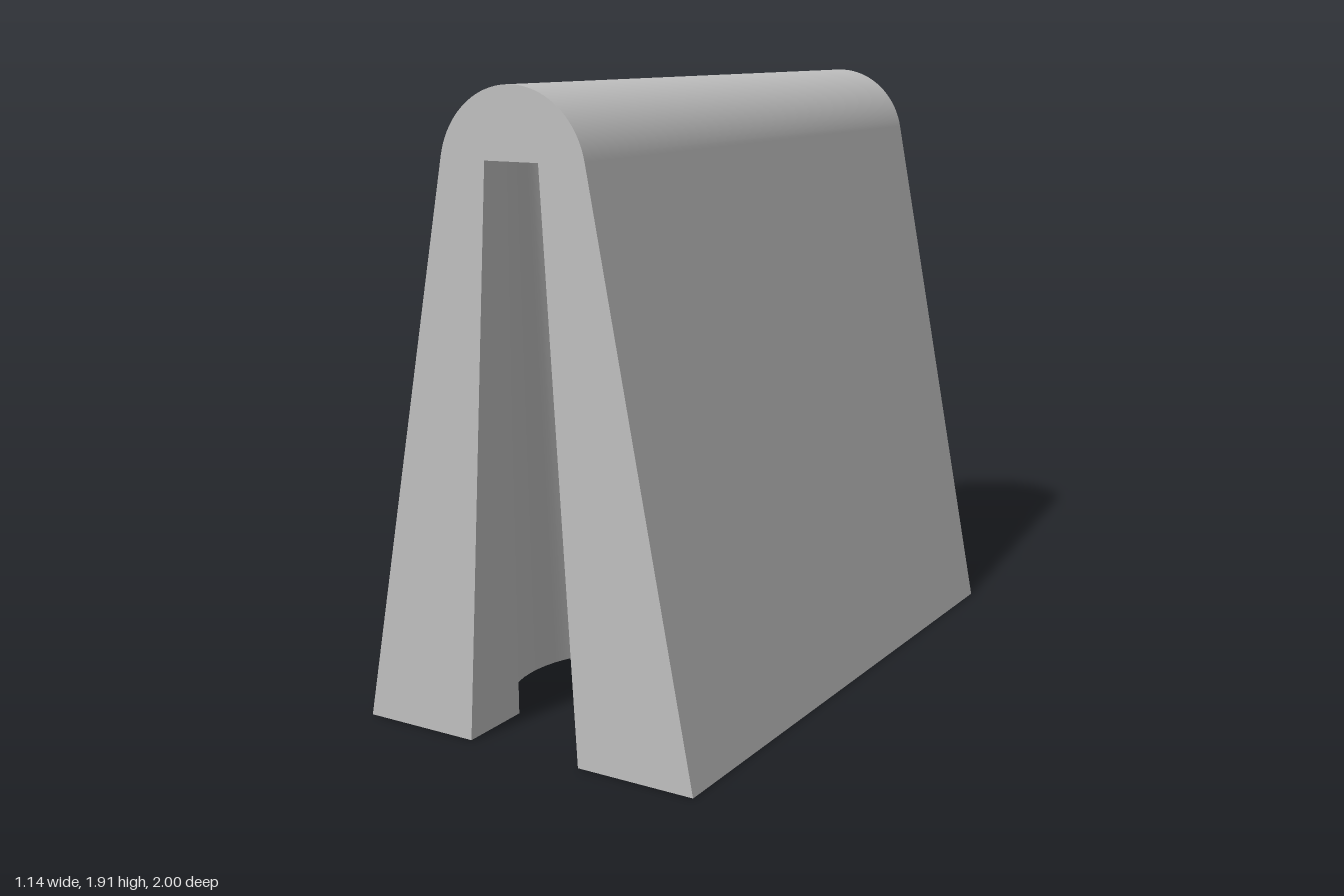
import * as THREE from 'three';

const HALF_LENGTH = 1, HALF_BASE = 0.57, CEILING = 1.7;
const ARC_R = 0.245, ARC_Y = 1.661, TILT = 0.192;
// keyhole cross-sections: slot half width, bore radius, bore centre
const LOW = { slot: 0.19, r: 0.36, z: 0.46, y: 0 };
const HIGH = { slot: 0.09, r: 0.156, z: 0.78, y: CEILING };

// smooth surface between two matching rows of points
function ruled(a, b) {
  const n = a.length, index = [];
  for (let i = 0; i < n - 1; i++) index.push(i, i + 1, n + i + 1, i, n + i + 1, n + i);
  const geo = new THREE.BufferGeometry().setFromPoints([...a, ...b]);
  geo.setIndex(index);
  geo.computeVertexNormals();
  return geo;
}

// bore outline from the right slot wall round to the left one
function boreArc({ slot, r, z, y }) {
  const start = Math.asin(slot / r), steps = 48, pts = [];
  for (let i = 0; i <= steps; i++) {
    const t = start + (2 * Math.PI - 2 * start) * i / steps;
    pts.push(new THREE.Vector3(r * Math.sin(t), y, z + r * Math.cos(t)));
  }
  return pts;
}

// flat downward-facing plate from x,z outline points
function downPlate(points, y) {
  const shape = new THREE.Shape(points.map(p => new THREE.Vector2(p.x, p.z)));
  return new THREE.ShapeGeometry(shape).rotateX(Math.PI / 2).translate(0, y, 0);
}

export function createModel() {
  const model = new THREE.Group();
  model.name = 'slottedWedge';
  const grey = new THREE.MeshStandardMaterial({ color: 0xc0c0c0 });
  grey.name = 'grey';
  const V = (x, y, z) => new THREE.Vector3(x, y, z);

  // outer profile, left foot over the rounded ridge to the right foot
  const profile = [new THREE.Vector2(-HALF_BASE, 0)];
  for (let i = 0; i <= 40; i++) {
    const t = Math.PI - TILT - (Math.PI - 2 * TILT) * i / 40;
    profile.push(new THREE.Vector2(ARC_R * Math.cos(t), ARC_Y + ARC_R * Math.sin(t)));
  }
  profile.push(new THREE.Vector2(HALF_BASE, 0));
  const rim = z => profile.map(p => V(p.x, p.y, z));

  const skin = new THREE.Mesh(ruled(rim(HALF_LENGTH), rim(-HALF_LENGTH)), grey);
  skin.name = 'outerSkin';
  model.add(skin);

  const low = boreArc(LOW), high = boreArc(HIGH);
  const mouth = s => [V(s.slot, s.y, 1), V(-s.slot, s.y, 1)];
  const [lowR, lowL] = mouth(LOW), [highR, highL] = mouth(HIGH);

  // end face with the tapered slot cut out
  const endFace = new THREE.ShapeGeometry(new THREE.Shape([
    ...profile,
    new THREE.Vector2(LOW.slot, 0), new THREE.Vector2(HIGH.slot, CEILING),
    new THREE.Vector2(-HIGH.slot, CEILING), new THREE.Vector2(-LOW.slot, 0),
  ])).translate(0, 0, HALF_LENGTH);

  const parts = {
    endFace,
    base: downPlate([V(-HALF_BASE, 0, 0), V(HALF_BASE, 0, 0), V(HALF_BASE, 0, 1),
      lowR, ...low, lowL, V(-HALF_BASE, 0, 1)], 0),
    boreWall: ruled(high, low),
    slotWallLeft: ruled([highR, high[0]], [lowR, low[0]]),
    slotWallRight: ruled([high.at(-1), highL], [low.at(-1), lowL]),
    cavityCeiling: downPlate([highR, ...high, highL], CEILING),
  };

  // the two ends are half-turn copies
  for (const [name, turn] of [['frontHalf', 0], ['backHalf', Math.PI]]) {
    const half = new THREE.Group();
    half.name = name;
    half.rotation.y = turn;
    for (const [part, geo] of Object.entries(parts)) {
      const mesh = new THREE.Mesh(geo, grey);
      mesh.name = part;
      half.add(mesh);
    }
    model.add(half);
  }
  return model;
}
